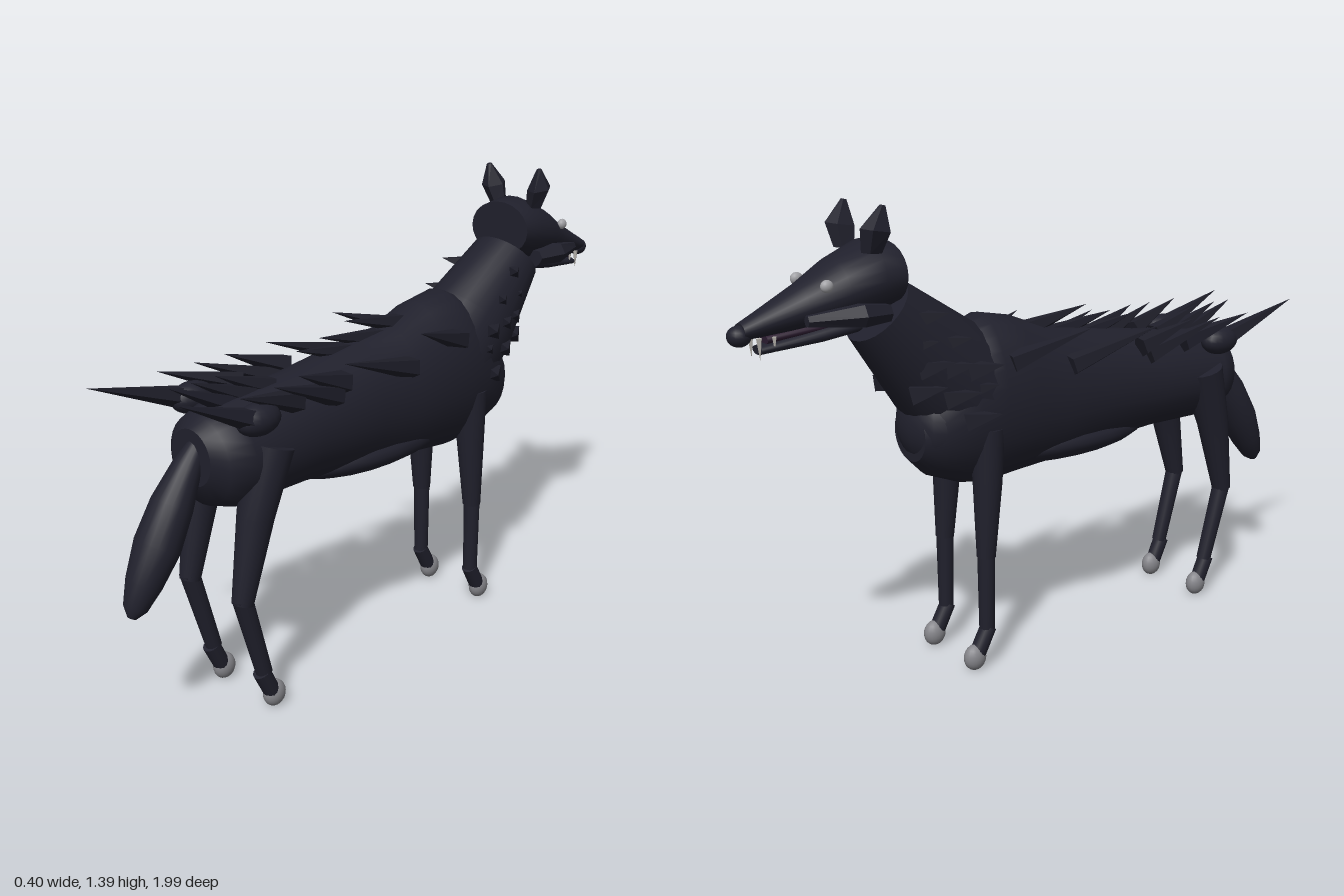
import * as THREE from 'three';

const mat = (name, color) => {
  const m = new THREE.MeshStandardMaterial({ color });
  m.name = name;
  return m;
};

export function createModel() {
  const model = new THREE.Group();
  const fur = mat('dark fur', 0x20202c);
  const horn = mat('dark spikes', 0x1e1e29);
  const claw = mat('grey claws', 0x85858a);
  const eyeGrey = mat('pale eye', 0xa0a0a4);
  const mouth = mat('mouth purple', 0x2c1c30);
  const ivory = mat('teeth', 0xb8b4ae);
  const X = new THREE.Vector3(1, 0, 0);

  const add = (name, geo, material, parent = model) => {
    const mesh = new THREE.Mesh(geo, material);
    mesh.name = name;
    parent.add(mesh);
    return mesh;
  };

  // Skin elliptical sections [x, y, z, rx, ry]; upright keeps every ring vertical
  function loft(sections, segs = 20, upright = false) {
    const pos = [], idx = [], n = sections.length;
    const pts = sections.map(s => new THREE.Vector3(s[0], s[1], s[2]));
    const rings = sections.map((s, i) => {
      const t = pts[Math.min(i + 1, n - 1)].clone().sub(pts[Math.max(i - 1, 0)]);
      if (upright) t.set(0, 0, Math.sign(t.z));
      const up = X.clone().cross(t).normalize();
      return Array.from({ length: segs }, (_, j) => {
        const a = j / segs * Math.PI * 2;
        return pts[i].clone().addScaledVector(X, s[3] * Math.cos(a)).addScaledVector(up, s[4] * Math.sin(a));
      });
    });
    rings.forEach(r => r.forEach(p => pos.push(p.x, p.y, p.z)));
    for (let i = 0; i < n - 1; i++) for (let j = 0; j < segs; j++) {
      const k = (j + 1) % segs, a = i * segs + j, b = i * segs + k, c = a + segs, d = b + segs;
      idx.push(a, c, b, b, c, d);
    }
    [0, n - 1].forEach(e => {
      const start = pos.length / 3;
      [pts[e], ...rings[e]].forEach(p => pos.push(p.x, p.y, p.z));
      for (let j = 0; j < segs; j++) {
        const a = start + 1 + j, b = start + 1 + (j + 1) % segs;
        e === 0 ? idx.push(start, a, b) : idx.push(start, b, a);
      }
    });
    const g = new THREE.BufferGeometry();
    g.setAttribute('position', new THREE.Float32BufferAttribute(pos, 3));
    g.setIndex(idx);
    g.computeVertexNormals();
    return g;
  }

  const faceted = g => {
    const f = g.toNonIndexed();
    f.computeVertexNormals();
    return f;
  };

  function ball(name, material, p, r, parent) {
    const m = add(name, new THREE.SphereGeometry(1, 18, 12), material, parent);
    m.position.set(...p);
    m.scale.set(...r);
    return m;
  }

  // Faceted cone from base to tip
  function spike(name, base, tip, r, material = horn, sides = 5) {
    const a = new THREE.Vector3(...base), d = new THREE.Vector3(...tip).sub(a);
    const g = new THREE.ConeGeometry(r, d.length(), sides);
    g.translate(0, d.length() / 2, 0);
    const m = add(name, faceted(g), material);
    m.position.copy(a);
    m.quaternion.setFromUnitVectors(new THREE.Vector3(0, 1, 0), d.normalize());
  }

  // Torso, rump to chest
  add('torso', loft([
    [0, 0.77, 0.75, 0.08, 0.08], [0, 0.755, 0.72, 0.125, 0.125], [0, 0.755, 0.65, 0.155, 0.148],
    [0, 0.765, 0.4, 0.145, 0.16], [0, 0.775, 0.15, 0.14, 0.19], [0, 0.775, 0, 0.145, 0.21],
    [0, 0.795, -0.12, 0.155, 0.238], [0, 0.80, -0.23, 0.155, 0.254], [0, 0.79, -0.32, 0.15, 0.23],
    [0, 0.75, -0.42, 0.125, 0.15], [0, 0.73, -0.47, 0.08, 0.08]], 28, true), fur);
  ball('belly', fur, [0, 0.63, 0.08], [0.125, 0.062, 0.32]);
  ball('chest', fur, [0, 0.75, -0.39], [0.13, 0.13, 0.1]);

  // Neck
  add('neck', loft([[0, 0.82, -0.27, 0.15, 0.17], [0, 0.92, -0.38, 0.145, 0.165],
    [0, 1.10, -0.565, 0.112, 0.108]], 24), fur);

  // Head
  add('head', loft([[0, 1.2, -0.53, 0.112, 0.085], [0, 1.195, -0.6, 0.123, 0.1],
    [0, 1.168, -0.7, 0.11, 0.083], [0, 1.135, -0.8, 0.072, 0.058],
    [0, 1.1, -0.92, 0.043, 0.032], [0, 1.088, -0.965, 0.032, 0.022]], 22, true), fur);
  ball('nose', fur, [0, 1.077, -0.968], [0.032, 0.028, 0.032]);
  add('lowerJaw', loft([[0, 1.08, -0.65, 0.075, 0.03], [0, 1.06, -0.75, 0.06, 0.024],
    [0, 1.035, -0.92, 0.028, 0.012]], 14, true), fur);
  add('mouthLining', loft([[0, 1.09, -0.7, 0.055, 0.02], [0, 1.06, -0.9, 0.024, 0.012]], 12, true), mouth);

  for (const s of [-1, 1]) {
    // Face
    add('ear', faceted(loft([[s * 0.072, 1.265, -0.615, 0.026, 0.03],
      [s * 0.092, 1.325, -0.612, 0.036, 0.045], [s * 0.1, 1.39, -0.595, 0.008, 0.008]], 5)), fur);
    ball('eye', eyeGrey, [s * 0.082, 1.193, -0.757], [0.014, 0.017, 0.018]);
    add('cheek', faceted(loft([[s * 0.105, 1.11, -0.59, 0.025, 0.025], [s * 0.12, 1.115, -0.68, 0.035, 0.034],
      [s * 0.085, 1.11, -0.82, 0.014, 0.016]], 6, true)), fur);
    spike('fang', [s * 0.025, 1.07, -0.925], [s * 0.025, 1.012, -0.925], 0.008, ivory);
    spike('smallFang', [s * 0.03, 1.07, -0.885], [s * 0.03, 1.03, -0.885], 0.006, ivory);

    // Hind leg
    add('hindThigh', loft([[s * 0.11, 0.79, 0.575, 0.075, 0.066], [s * 0.115, 0.6, 0.635, 0.05, 0.053],
      [s * 0.113, 0.36, 0.69, 0.031, 0.03]], 16), fur);
    add('hindShin', loft([[s * 0.113, 0.38, 0.692, 0.029, 0.029], [s * 0.11, 0.12, 0.62, 0.024, 0.024]], 14), fur);
    add('hindPastern', loft([[s * 0.11, 0.125, 0.63, 0.025, 0.026], [s * 0.11, 0.045, 0.592, 0.025, 0.025]], 14), fur);
    ball('hindClaw', claw, [s * 0.11, 0.04, 0.585], [0.028, 0.04, 0.036]);

    // Front leg
    add('frontThigh', loft([[s * 0.1, 0.74, -0.275, 0.055, 0.052], [s * 0.105, 0.58, -0.277, 0.044, 0.044],
      [s * 0.108, 0.35, -0.287, 0.029, 0.028]], 16), fur);
    add('frontShin', loft([[s * 0.108, 0.36, -0.287, 0.027, 0.026], [s * 0.108, 0.12, -0.287, 0.023, 0.023]], 14), fur);
    add('frontPastern', loft([[s * 0.108, 0.125, -0.282, 0.025, 0.024], [s * 0.108, 0.045, -0.325, 0.025, 0.025]], 14), fur);
    ball('frontClaw', claw, [s * 0.108, 0.04, -0.332], [0.028, 0.04, 0.036]);

    // Hip knob with its long spike
    ball('hipKnob', fur, [s * 0.135, 0.88, 0.63], [0.045, 0.045, 0.07]);
    spike('hipSpike', [s * 0.14, 0.88, 0.64], [s * 0.14, 0.98, s < 0 ? 0.96 : 0.89], 0.036);

    // Flank spikes: base z and y, tip z and y, tip x
    [[0.02, 0.88, 0.34, 0.97, 0.16], [0.33, 0.87, 0.6, 0.965, 0.165], [-0.2, 0.92, 0.05, 1.0, 0.18],
      [0.3, 0.9, 0.5, 0.97, 0.15], [0.48, 0.89, 0.72, 0.965, 0.17]]
      .forEach(([z, y, tz, ty, tx]) => spike('flankSpike', [s * 0.12, y, z], [s * tx, ty, tz], 0.036));

    // Neck spikes: z, y, and outer reach
    [[-0.47, 1.085, 0.155], [-0.50, 1.01, 0.15], [-0.46, 0.95, 0.17], [-0.48, 0.88, 0.155],
      [-0.40, 1.01, 0.165], [-0.40, 0.94, 0.185], [-0.39, 0.86, 0.19],
      [-0.32, 0.93, 0.2], [-0.32, 0.87, 0.18], [-0.33, 0.79, 0.2]]
      .forEach(([z, y, reach]) => spike('neckSpike', [s * (reach - 0.075), y - 0.01, z - 0.025],
        [s * reach, y + 0.012, z + 0.04], 0.036, horn, 4));
  }

  // Spikes along the spine: base z and y, tip z and y
  [[-0.08, 0.975, 0.18, 1.03], [0.03, 0.95, 0.28, 1.0], [0.14, 0.93, 0.37, 0.98],
    [0.47, 0.9, 0.66, 0.975], [0.54, 0.89, 0.74, 0.975], [0.6, 0.88, 0.81, 0.975]]
    .forEach(([z, y, tz, ty]) => spike('spineSpike', [0, y, z], [0, ty, tz], 0.034));

  // Tail
  add('tail', loft([[0, 0.81, 0.72, 0.025, 0.025], [0, 0.75, 0.765, 0.042, 0.04], [0, 0.66, 0.82, 0.06, 0.058],
    [0, 0.56, 0.875, 0.068, 0.062], [0, 0.47, 0.925, 0.052, 0.05], [0, 0.41, 0.957, 0.034, 0.033],
    [0, 0.385, 0.97, 0.012, 0.012]], 18), fur);

  return model;
}
